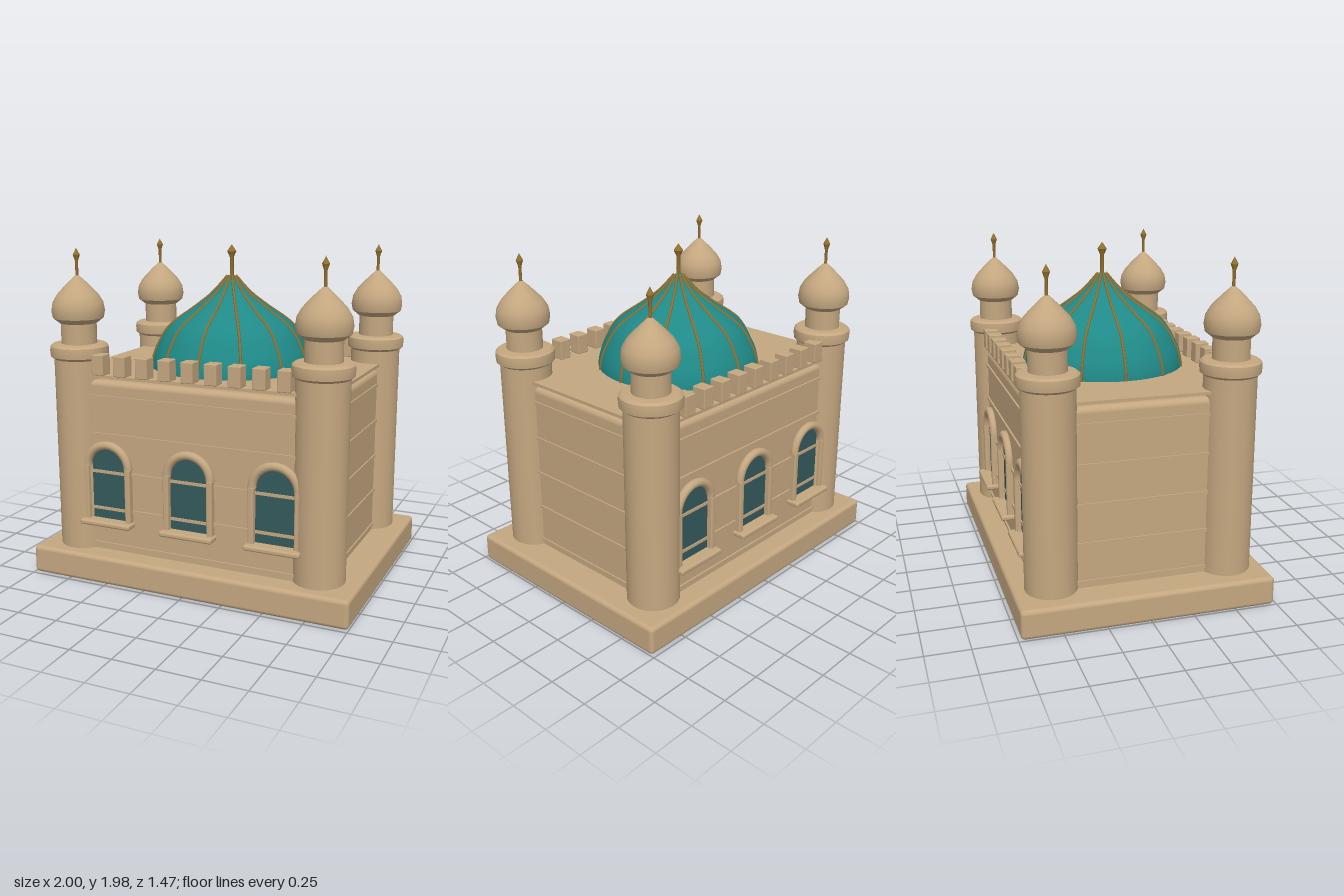
import * as THREE from 'three';
import { toCreasedNormals } from 'three/addons/utils/BufferGeometryUtils.js';
import { RoundedBoxGeometry } from 'three/addons/geometries/RoundedBoxGeometry.js';

const material = (name, color) => {
  const m = new THREE.MeshStandardMaterial({ color });
  m.name = name;
  return m;
};

export function createModel() {
  const sand = material('sandstone', 0xc4a780);
  const teal = material('teal tile', 0x1f8a88);
  const gold = material('old gold', 0x94702f);
  const glass = material('dark glass', 0x345a5c);

  const model = new THREE.Group();
  model.name = 'domedHall';

  const add = (parent, name, geometry, mat, x = 0, y = 0, z = 0) => {
    const mesh = new THREE.Mesh(geometry, mat);
    mesh.name = name;
    mesh.position.set(x, y, z);
    parent.add(mesh);
    return mesh;
  };
  const box = (w, h, d) => new THREE.BoxGeometry(w, h, d);
  const rounded = (w, h, d, r) => new RoundedBoxGeometry(w, h, d, 3, r);
  const vectors = (points) => points.map(([x, y]) => new THREE.Vector2(x, y));
  const lathe = (points, sides = 40) =>
    toCreasedNormals(new THREE.LatheGeometry(vectors(points), sides), 0.6);

  // Plinth, hall and the thin roof slab hovering over the rounded wall top
  add(model, 'plinth', rounded(2, 0.17, 1.47, 0.025), sand, 0, 0.085, 0);
  add(model, 'hall', rounded(1.63, 1.09, 1.2, 0.035), sand, 0, 0.665, 0);
  add(model, 'roofSlab', box(1.646, 0.018, 1.222), sand, 0, 1.236, 0);

  // Horizontal string courses
  for (let i = 0; i < 5; i++) {
    add(model, 'stringCourse', box(1.646, 0.018, 1.222), sand, 0, 0.205 + i * 0.2275, 0);
  }

  // Battlements along the front and back
  for (const side of [1, -1]) {
    for (let i = -4; i <= 4; i++) {
      add(model, 'merlon', rounded(0.076, 0.12, 0.086, 0.005), sand, i * 0.144, 1.305, side * 0.583);
    }
  }

  // Finial: a rod with a pointed bud
  const finial = (height, r) => lathe([
    [0, 0], [r, 0], [r, height - 0.075], [r * 2.3, height - 0.04], [0, height],
  ], 16);

  // Corner towers with collar, neck and bulbous cap
  const towerShape = lathe([
    [0, 0.165], [0.15, 0.165], [0.15, 1.32], [0.17, 1.335], [0.173, 1.37], [0.17, 1.395],
    [0.155, 1.407], [0.105, 1.41], [0.105, 1.54], [0, 1.54],
  ]);
  const capShape = lathe([
    [0, 1.53], [0.11, 1.53], [0.148, 1.56], [0.156, 1.6], [0.148, 1.65], [0.122, 1.695],
    [0.085, 1.735], [0.045, 1.775], [0.012, 1.805], [0, 1.807],
  ]);
  for (const x of [-0.76, 0.76]) {
    for (const z of [-0.515, 0.515]) {
      const tower = new THREE.Group();
      tower.name = 'tower';
      tower.position.set(x, 0, z);
      add(tower, 'towerShaft', towerShape, sand);
      add(tower, 'towerCap', capShape, sand);
      add(tower, 'towerFinial', finial(0.17, 0.009), gold, 0, 1.795, 0);
      model.add(tower);
    }
  }

  // Central dome with twelve ribs
  const outline = [
    [0.487, 1.205], [0.482, 1.28], [0.452, 1.37], [0.375, 1.495],
    [0.225, 1.605], [0.115, 1.69], [0.025, 1.79],
  ];
  const domeCurve = new THREE.SplineCurve(vectors(outline));
  add(model, 'dome', new THREE.LatheGeometry(
    [...domeCurve.getPoints(30), new THREE.Vector2(0, 1.795)], 64), teal);
  const ribCurve = new THREE.CatmullRomCurve3(
    domeCurve.getPoints(18).map((p) => new THREE.Vector3(p.x + 0.002, p.y, 0)));
  const ribShape = new THREE.TubeGeometry(ribCurve, 28, 0.008, 6);
  for (let i = 0; i < 12; i++) {
    add(model, 'domeRib', ribShape, gold).rotation.y = (i * Math.PI) / 6;
  }
  add(model, 'domeFinial', finial(0.2, 0.012), gold, 0, 1.775, 0);

  // Arched windows, three on the front and three on the back
  const springY = 0.69;
  const pane = new THREE.Shape();
  pane.moveTo(-0.125, 0.36);
  pane.lineTo(0.125, 0.36);
  pane.lineTo(0.125, springY);
  pane.absarc(0, springY, 0.125, 0, Math.PI, false);
  pane.closePath();
  const paneShape = new THREE.ShapeGeometry(pane, 20);
  const archShape = new THREE.TorusGeometry(0.137, 0.025, 12, 32, Math.PI);

  for (const turn of [0, Math.PI]) {
    const wall = new THREE.Group();
    wall.name = 'windowWall';
    wall.rotation.y = turn;
    for (const x of [-0.53, 0, 0.53]) {
      const win = new THREE.Group();
      win.name = 'window';
      win.position.set(x, 0, 0.6);
      add(win, 'windowPane', paneShape, glass, 0, 0, 0.005);
      add(win, 'windowArch', archShape, sand, 0, springY, 0.015);
      for (const s of [-1, 1]) {
        add(win, 'windowJamb', rounded(0.036, 0.35, 0.06, 0.01), sand, s * 0.138, 0.525, 0.01);
      }
      add(win, 'windowSill', rounded(0.335, 0.032, 0.1, 0.012), sand, 0, 0.353, 0.03);
      wall.add(win);
    }
    model.add(wall);
  }

  return model;
}
